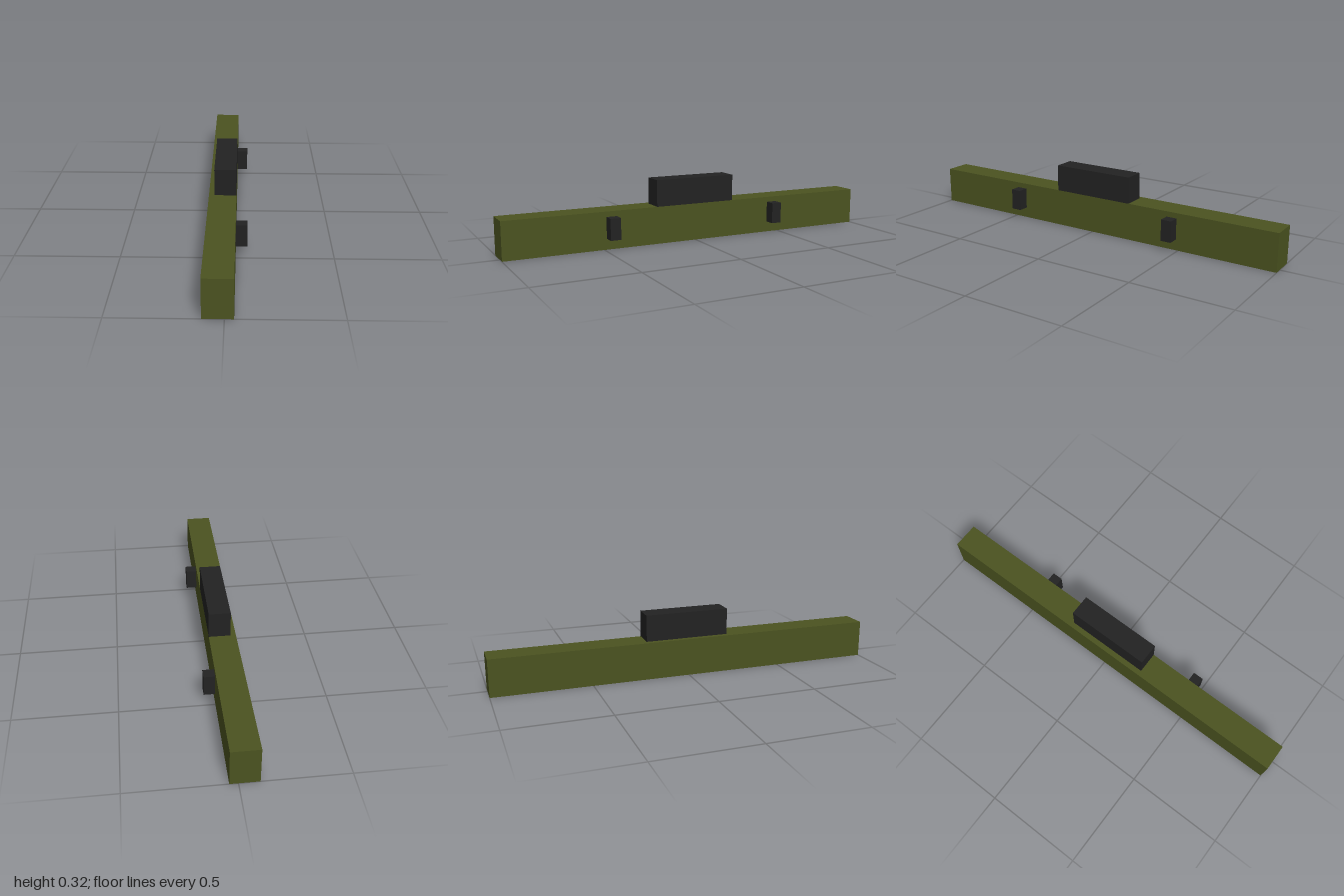
import * as THREE from 'three';

export function createModel() {
  const model = new THREE.Group();
  const olive = new THREE.MeshStandardMaterial({ name: 'olive green', color: 0x4b5320 });
  const black = new THREE.MeshStandardMaterial({ name: 'soft black', color: 0x222222 });

  // Box given by its lower and upper corners
  const addBox = (name, material, min, max) => {
    const size = max.map((v, i) => v - min[i]);
    const mesh = new THREE.Mesh(new THREE.BoxGeometry(...size), material);
    mesh.name = name;
    mesh.position.set(...max.map((v, i) => (v + min[i]) / 2));
    model.add(mesh);
  };

  // Long main beam
  addBox('beam', olive, [-0.095, 0, -1], [0.04, 0.19, 1]);

  // Block on top, flush with the beam's left face
  addBox('topBlock', black, [-0.068, 0.19, -0.216], [0.04, 0.325, 0.216]);

  // Two side lugs, front and back
  for (const [name, z] of [['frontLug', 0.46], ['backLug', -0.46]]) {
    addBox(name, black, [0.04, 0.055, z - 0.027], [0.095, 0.163, z + 0.027]);
  }
  return model;
}
